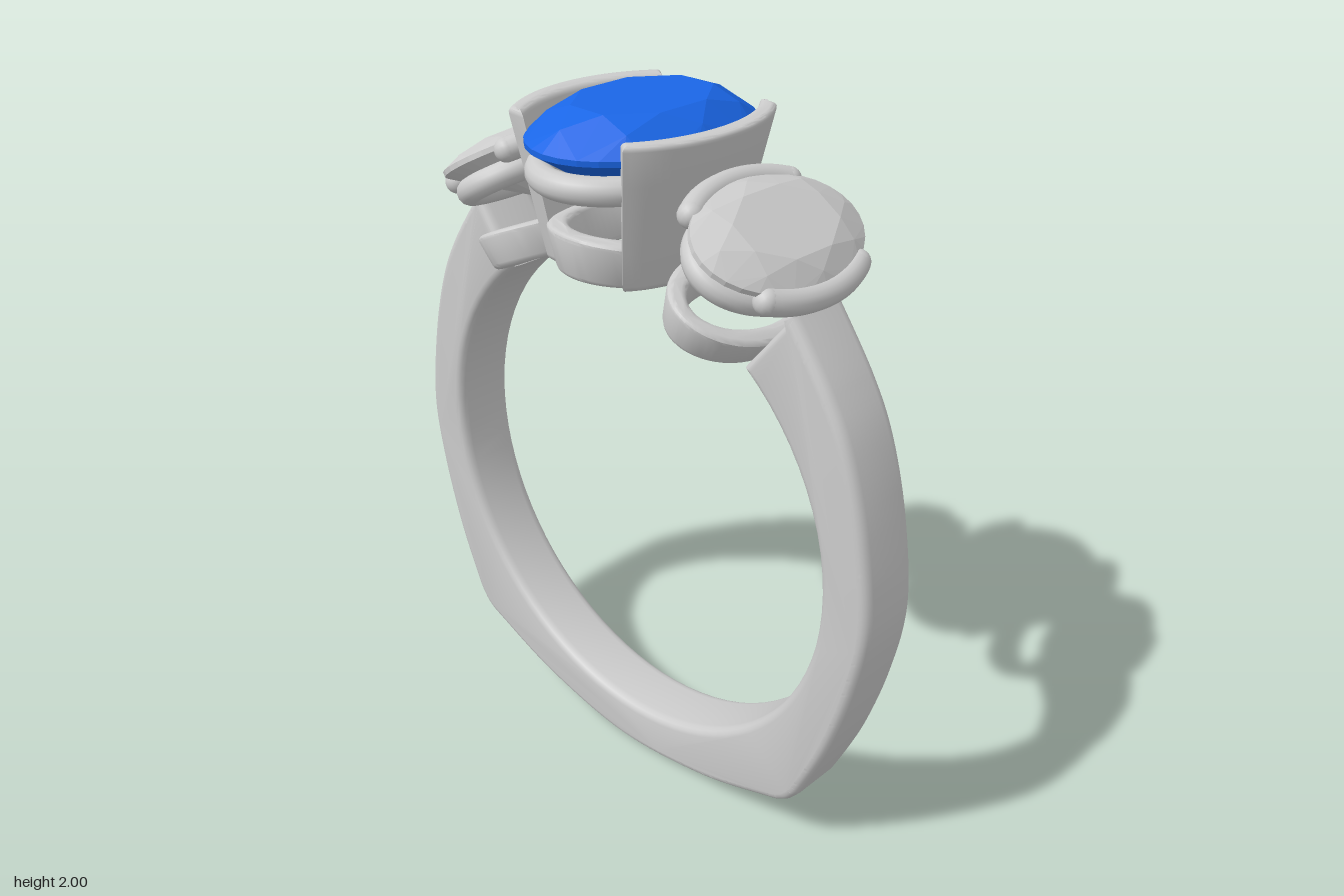
import * as THREE from 'three';
import { toCreasedNormals } from 'three/addons/utils/BufferGeometryUtils.js';
import { ConvexGeometry } from 'three/addons/geometries/ConvexGeometry.js';

const FINGER_Y = 0.87, FINGER_R = 0.715;
const metal = new THREE.MeshStandardMaterial({ color: 0xcccccc });
const clearGem = new THREE.MeshStandardMaterial({ color: 0xcccccc, flatShading: true });
const blueGem = new THREE.MeshStandardMaterial({ color: 0x1a66e6, flatShading: true });

function add(parent, name, geometry, material = metal) {
  const mesh = new THREE.Mesh(geometry, material);
  mesh.name = name;
  parent.add(mesh);
  return mesh;
}

// Apply a rule to every vertex
function warp(geometry, rule) {
  const p = geometry.attributes.position, v = new THREE.Vector3();
  for (let i = 0; i < p.count; i++) {
    rule(v.fromBufferAttribute(p, i));
    p.setXYZ(i, v.x, v.y, v.z);
  }
  return geometry;
}

// Points of an ellipse in the xz plane
function ellipse(a, b, n, y = 0, from = 0, to = Math.PI * 2) {
  return Array.from({ length: n }, (_, i) => {
    const t = from + (to - from) * i / n;
    return new THREE.Vector3(a * Math.cos(t), y, b * Math.sin(t));
  });
}

// Faceted oval stone, girdle at y = 0
function ovalStone(a, b, crown, depth) {
  const half = Math.PI / 8;
  const ring = (k, n, y, shift = 0) => ellipse(a * k, b * k, n, y, shift, shift + Math.PI * 2);
  return new ConvexGeometry([
    ...ring(0.62, 8, crown, half),
    ...ring(0.83, 8, crown * 0.64),
    ...ring(1, 32, 0.007),
    ...ring(1, 32, -0.007),
    ...ring(0.6, 8, -depth * 0.45, half),
    new THREE.Vector3(0, -depth, 0),
  ]);
}

// Round wire bent to a closed oval
function ovalRail(a, b, r) {
  const path = new THREE.CatmullRomCurve3(ellipse(a, b, 32), true);
  return new THREE.TubeGeometry(path, 96, r, 14, true);
}

// Oval collar wrapped around the finger circle, at an angle from the top
function baseCollar(a, b, wall, height, angle) {
  const bevel = 0.015;
  const shape = new THREE.Shape().absellipse(0, 0, a, b, 0, Math.PI * 2);
  shape.holes.push(new THREE.Path().absellipse(0, 0, a - wall, b - wall, 0, Math.PI * 2));
  const geo = new THREE.ExtrudeGeometry(shape, {
    depth: height - 2 * bevel, bevelThickness: bevel, bevelSize: bevel,
    bevelOffset: -bevel, bevelSegments: 3, curveSegments: 32,
  });
  geo.rotateX(-Math.PI / 2).translate(0, bevel, 0);
  warp(geo, v => {
    const flare = 0.93 + 0.07 * v.y / height;
    const t = angle + v.x * flare / FINGER_R, r = FINGER_R + v.y;
    v.set(Math.sin(t) * r, FINGER_Y + Math.cos(t) * r, v.z * flare);
  });
  return toCreasedNormals(geo, 0.6);
}

// Band: round finger hole, squared foot, open at the top
function bandGeometry() {
  const side = [[0.575, 1.625], [0.695, 1.46], [0.77, 1.315], [0.83, 1.11], [0.863, 0.87],
    [0.835, 0.655], [0.775, 0.435], [0.7, 0.25], [0.672, 0.2], [0.64, 0.167], [0.58, 0.138],
    [0.325, 0.05]];
  const rest = [...side, [0, 0.003], ...side.map(([x, y]) => [-x, y]).reverse()];
  const shape = new THREE.Shape();
  shape.moveTo(...side[0]);
  shape.splineThru(rest.slice(1).map(p => new THREE.Vector2(...p)));
  const end = Math.acos(0.43 / FINGER_R);
  shape.absarc(0, FINGER_Y, FINGER_R, Math.PI - end, Math.PI * 2 + end, false);
  const geo = new THREE.ExtrudeGeometry(shape, {
    depth: 0.13, bevelThickness: 0.03, bevelSize: 0.025, bevelOffset: -0.025,
    bevelSegments: 4, curveSegments: 32,
  });
  geo.translate(0, 0, -0.065);
  return toCreasedNormals(geo, 0.6);
}

// Curved wall hugging one side of the centre stone, tapering downward
function claspWall() {
  const outer = ellipse(0.3, 0.365, 28, 0, -0.82, 0.82);
  const inner = ellipse(0.243, 0.335, 28, 0, 0.86, -0.86);
  const shape = new THREE.Shape([...outer, ...inner].map(p => new THREE.Vector2(p.x, p.z)));
  const bottom = 1.58, height = 0.395, bevel = 0.016;
  const geo = new THREE.ExtrudeGeometry(shape, {
    depth: height - 2 * bevel, steps: 4, bevelThickness: bevel, bevelSize: bevel,
    bevelOffset: -bevel, bevelSegments: 4,
  });
  geo.rotateX(-Math.PI / 2).translate(0, bottom + bevel, 0);
  warp(geo, v => {
    const k = (v.y - bottom) / height;
    v.x *= 0.68 + 0.32 * k;
    v.z *= 0.78 + 0.22 * k;
  });
  return toCreasedNormals(geo, 0.6);
}

// Round-ended claw bar following part of an oval
function clawBar(parent, name, a, b, mid, spread, y, r) {
  const pts = ellipse(a, b, 12, y, mid - spread, mid + spread * 13 / 11);
  const claw = new THREE.Group();
  claw.name = name;
  parent.add(claw);
  add(claw, 'clawBody', new THREE.TubeGeometry(new THREE.CatmullRomCurve3(pts), 32, r, 14));
  for (const p of [pts[0], pts[pts.length - 1]])
    add(claw, 'clawTip', new THREE.SphereGeometry(r, 16, 12)).position.copy(p);
}

function sideSetting(name) {
  const side = new THREE.Group();
  side.name = name;
  add(side, 'sideCollar', baseCollar(0.145, 0.235, 0.05, 0.1, 0.46));

  // Tilted head with its stone
  const head = new THREE.Group();
  head.name = 'sideHead';
  head.position.set(0.45, 1.765, 0);
  head.rotation.z = -0.56;
  side.add(head);
  add(head, 'sideStone', ovalStone(0.172, 0.265, 0.045, 0.15), clearGem);
  add(head, 'sideRail', ovalRail(0.135, 0.215, 0.035)).position.y = -0.065;
  clawBar(head, 'outerClaw', 0.178, 0.26, 0, 0.68, -0.015, 0.033);
  clawBar(head, 'innerClaw', 0.178, 0.26, Math.PI, 0.72, -0.015, 0.033);
  return side;
}

export function createModel() {
  const ring = new THREE.Group();
  ring.name = 'threeStoneRing';
  add(ring, 'band', bandGeometry());

  // Centre setting
  const centre = new THREE.Group();
  centre.name = 'centreSetting';
  ring.add(centre);
  add(centre, 'centreStone', ovalStone(0.24, 0.33, 0.082, 0.215), blueGem).position.y = 1.918;
  add(centre, 'centreRail', ovalRail(0.205, 0.295, 0.036)).position.y = 1.842;
  add(centre, 'centreCollar', baseCollar(0.19, 0.27, 0.055, 0.122, 0));
  const wall = claspWall();
  add(centre, 'leftWall', wall);
  add(centre, 'rightWall', wall).rotation.y = Math.PI;

  // Side settings
  ring.add(sideSetting('leftSetting'));
  const right = sideSetting('rightSetting');
  right.rotation.y = Math.PI;
  ring.add(right);
  return ring;
}
